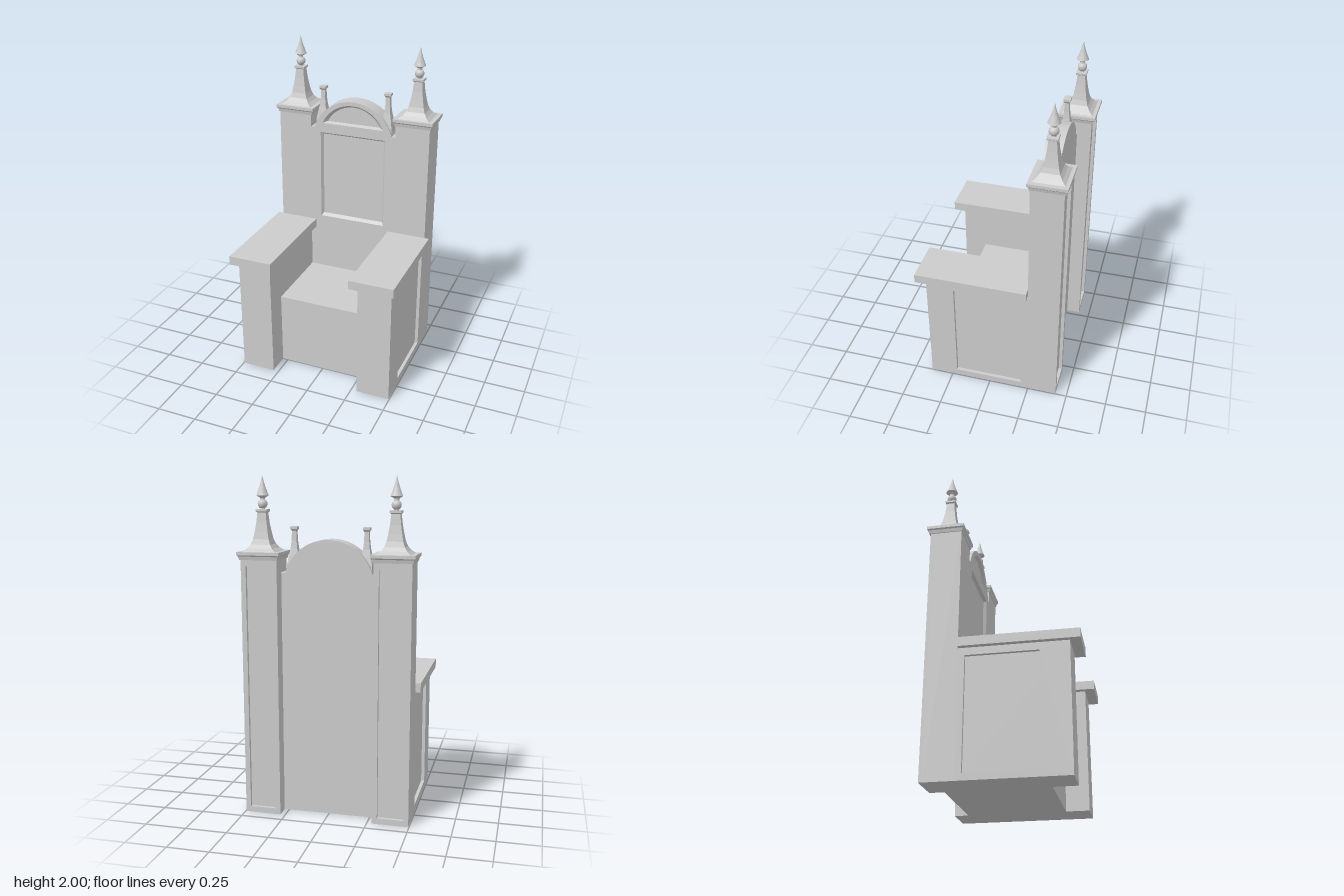
import * as THREE from 'three';

const smooth = new THREE.MeshStandardMaterial({ color: 0xcccccc });
const flat = new THREE.MeshStandardMaterial({ color: 0xcccccc, flatShading: true });
const V = (x, y) => new THREE.Vector2(x, y);

export function createModel() {
  const model = new THREE.Group();

  function add(name, geometry, material = flat) {
    const mesh = new THREE.Mesh(geometry, material);
    mesh.name = name;
    model.add(mesh);
    return mesh;
  }

  // Box given by its minimum and maximum on each axis
  function box(name, x0, x1, y0, y1, z0, z1) {
    const lo = Math.min(x0, x1), hi = Math.max(x0, x1);
    const g = new THREE.BoxGeometry(hi - lo, y1 - y0, z1 - z0);
    g.translate((lo + hi) / 2, (y0 + y1) / 2, (z0 + z1) / 2);
    return add(name, g);
  }

  const rect = (x0, x1, y0, y1) => [V(x0, y0), V(x1, y0), V(x1, y1), V(x0, y1)];

  // Circular arc from right to left, symmetric about x = 0
  function arc(r, cy, yEnd, n = 24) {
    const a0 = Math.asin((yEnd - cy) / r);
    return Array.from({ length: n + 1 }, (_, i) => {
      const a = a0 + (Math.PI - 2 * a0) * i / n;
      return V(r * Math.cos(a), cy + r * Math.sin(a));
    });
  }

  function plate(outline, holes, depth) {
    const shape = new THREE.Shape(outline);
    holes.forEach(h => shape.holes.push(new THREE.Path(h)));
    return new THREE.ExtrudeGeometry(shape, { depth, bevelEnabled: false });
  }

  // Sloped lining of a recess, from its rim back to a smaller floor outline
  function lining(name, rim, floor, zRim, zFloor) {
    const pos = [];
    rim.forEach((a, i) => {
      const j = (i + 1) % rim.length, b = rim[j], c = floor[j], d = floor[i];
      pos.push(a.x, a.y, zRim, b.x, b.y, zRim, c.x, c.y, zFloor);
      pos.push(a.x, a.y, zRim, c.x, c.y, zFloor, d.x, d.y, zFloor);
    });
    const g = new THREE.BufferGeometry();
    g.setAttribute('position', new THREE.Float32BufferAttribute(pos, 3));
    g.computeVertexNormals();
    add(name, g);
  }

  // Square tapering solid from [half width, height] pairs
  function squareTurned(name, profile, x, z, depthScale = 1) {
    const pts = profile.map(([h, y]) => V(h * Math.SQRT2, y));
    const g = new THREE.LatheGeometry(pts, 4, Math.PI / 4);
    g.scale(1, 1, depthScale);
    g.translate(x, 0, z);
    return add(name, g);
  }

  // Backrest: arched core with a front layer holding two bevelled recesses
  const archOutline = [V(-0.28, 0), V(0.28, 0), V(0.28, 1.45), ...arc(0.267, 1.373, 1.45), V(-0.28, 1.45)];
  const panelRim = rect(-0.215, 0.215, 0.84, 1.42);
  const panelFloor = rect(-0.202, 0.202, 0.857, 1.407);
  const lunetteRim = arc(0.219, 1.396, 1.483);
  const lunetteFloor = arc(0.205, 1.396, 1.494).map(p => V(p.x * 0.96, p.y));
  add('backrestCore', plate(archOutline, [], 0.085)).position.z = -0.345;
  add('backrestFront', plate(archOutline, [panelRim, lunetteRim], 0.02)).position.z = -0.26;
  lining('panelBevel', panelRim, panelFloor, -0.24, -0.2595);
  lining('lunetteBevel', lunetteRim, lunetteFloor, -0.24, -0.2595);

  // Seat block
  box('seat', -0.285, 0.285, 0, 0.47, -0.24, 0.25);

  const px = 0.3875, pz = -0.3375;
  for (const s of [1, -1]) {
    // Arm with a recessed outer panel
    box('arm', s * 0.285, s * 0.475, 0, 0.755, -0.24, 0.39);
    const frame = plate(rect(...[-s * 0.39, s * 0.24].sort((a, b) => a - b), 0, 0.755),
      [rect(...[-s * 0.22, s * 0.2].sort((a, b) => a - b), 0.04, 0.71)], 0.02);
    frame.rotateY(s * Math.PI / 2);
    frame.translate(s * 0.475, 0, 0);
    add('armSideFrame', frame);
    box('armrest', s * 0.25, s * 0.525, 0.755, 0.81, -0.235, 0.45);

    // Post with a recessed panel on its back
    box('post', s * 0.28, s * 0.495, 0, 1.53, -0.41, -0.24);
    const back = plate(rect(-0.1075, 0.1075, 0, 1.53), [rect(-0.078, 0.078, 0.035, 1.49)], 0.02);
    back.translate(s * px, 0, -0.43);
    add('postBackFrame', back);

    // Stepped cap and concave spire
    squareTurned('postCap', [[0, 1.525], [0.113, 1.525], [0.118, 1.545], [0.125, 1.552],
      [0.125, 1.57], [0, 1.57]], s * px, pz, 0.9);
    squareTurned('spire', [[0.098, 1.57], [0.075, 1.588], [0.058, 1.61], [0.047, 1.64], [0.039, 1.68],
      [0.031, 1.73], [0.025, 1.79], [0.033, 1.796], [0.033, 1.808], [0, 1.808]], s * px, pz, 0.93);

    // Ball and spear tip
    const ball = new THREE.SphereGeometry(0.028, 20, 14);
    add('finialBall', ball, smooth).position.set(s * px, 1.838, pz);
    const tip = [[0.014, 1.8], [0.014, 1.872], [0.036, 1.886], [0.028, 1.905], [0.017, 1.935],
      [0.008, 1.965], [0, 2]].map(p => V(...p));
    add('finialTip', new THREE.LatheGeometry(tip, 16), flat).position.set(s * px, 0, pz);

    // Small pinnacle on the shoulder of the arch
    squareTurned('pinnacle', [[0.037, 1.45], [0.036, 1.5], [0.028, 1.545], [0.02, 1.585], [0.015, 1.63],
      [0.013, 1.685], [0.021, 1.697], [0.021, 1.71], [0, 1.71]], s * 0.213, -0.29);
  }
  return model;
}
